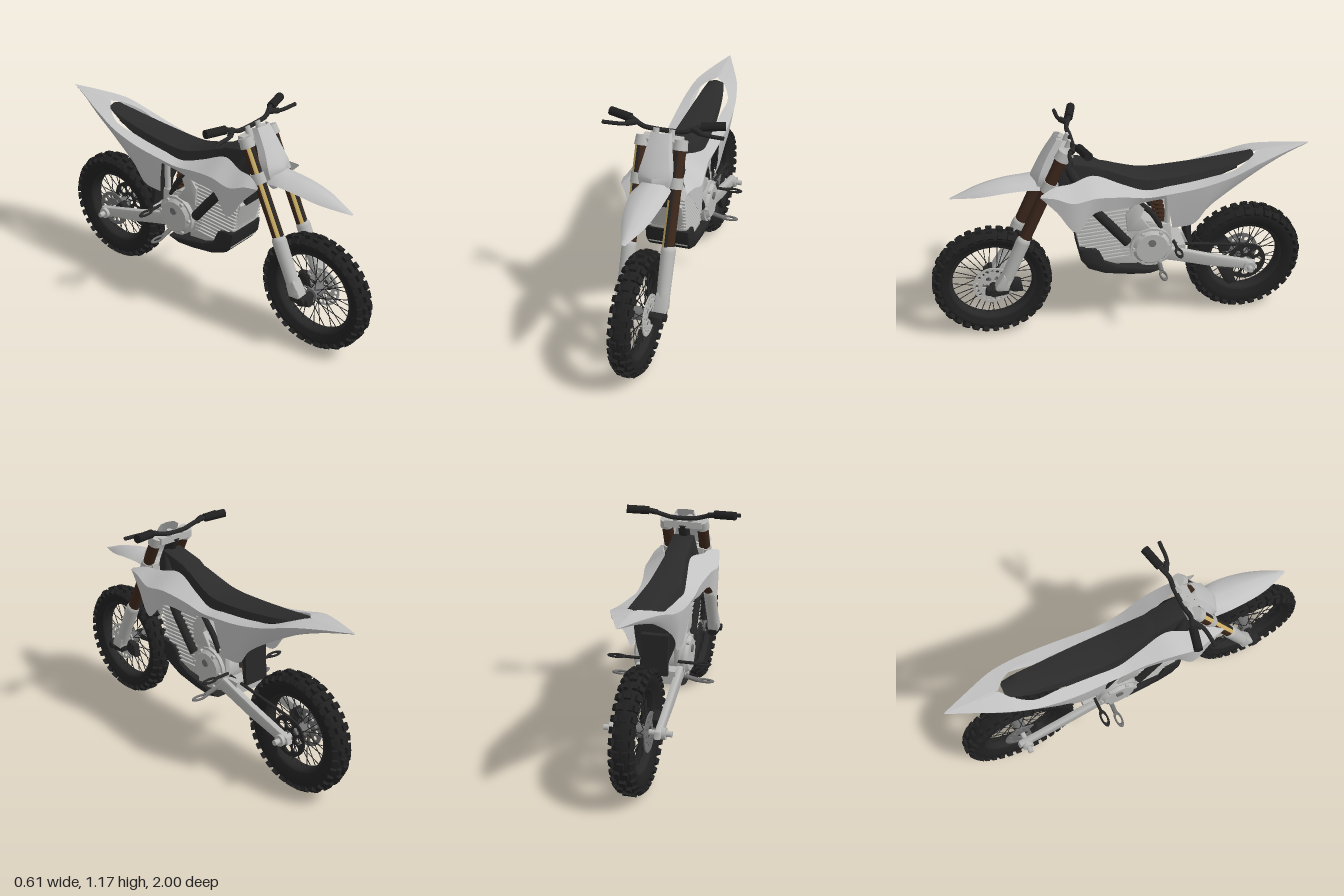
import * as THREE from 'three';
import { mergeGeometries, toCreasedNormals } from 'three/addons/utils/BufferGeometryUtils.js';

const mat = (name, color) => Object.assign(new THREE.MeshStandardMaterial({ color, side: THREE.DoubleSide }), { name });
const V = (x, y, z) => new THREE.Vector3(x, y, z);

export function createModel() {
  const body = mat('body grey', 0xc2c2c2), metal = mat('cast metal', 0xb8b8b6), steel = mat('steel', 0x707070);
  const black = mat('rubber black', 0x202020), dark = mat('seat black', 0x2c2b2b), frameMat = mat('frame black', 0x272727);
  const brown = mat('fork brown', 0x3c271b), gold = mat('fork gold', 0xd2b468);
  const root = new THREE.Group();
  root.name = 'dirtBike';

  const add = (name, geo, m, parent = root) => {
    const mesh = new THREE.Mesh(geo, m);
    mesh.name = name;
    parent.add(mesh);
    return mesh;
  };
  const both = fn => [1, -1].forEach(fn);
  // straight round bar between two points
  const rodGeo = (a, b, r1, r2 = r1, seg = 16, open = false, t0 = 0, t1 = Math.PI * 2) => {
    const d = b.clone().sub(a), g = new THREE.CylinderGeometry(r2, r1, d.length(), seg, 1, open, t0, t1);
    g.applyQuaternion(new THREE.Quaternion().setFromUnitVectors(V(0, 1, 0), d.normalize()));
    return g.translate((a.x + b.x) / 2, (a.y + b.y) / 2, (a.z + b.z) / 2);
  };
  const rod = (name, a, b, r, m, r2 = r, parent = root) => add(name, rodGeo(a, b, r, r2), m, parent);
  const tube = (name, pts, r, m, n = 40) =>
    add(name, new THREE.TubeGeometry(new THREE.CatmullRomCurve3(pts.map(p => V(...p)), false, 'centripetal'), n, r, 10), m);
  const boxGeo = (w, h, d, x, y, z) => new THREE.BoxGeometry(w, h, d).translate(x, y, z);
  // side outline of [z, y] points given a width along x
  const slab = (name, pts, width, x, m, bevel = 0) => {
    const g = new THREE.ExtrudeGeometry(new THREE.Shape(pts.map(p => new THREE.Vector2(...p))), {
      depth: width - 2 * bevel, bevelEnabled: bevel > 0, bevelSize: bevel, bevelThickness: bevel, bevelOffset: -bevel, bevelSegments: 2 });
    g.translate(0, 0, -width / 2 + bevel).rotateY(-Math.PI / 2).translate(x, 0, 0);
    return add(name, toCreasedNormals(g, 0.6), m);
  };
  // surface through rows of points, smoothed from row to row
  const sheet = (name, rows, m, side = 1, steps = 30) => {
    const cols = rows[0].map((_, i) => new THREE.CatmullRomCurve3(rows.map(r => V(r[i][0] * side, r[i][1], r[i][2])), false, 'centripetal').getPoints(steps));
    const n = cols.length, pos = [], idx = [];
    for (let j = 0; j <= steps; j++) cols.forEach(c => pos.push(c[j].x, c[j].y, c[j].z));
    for (let j = 0; j < steps; j++) for (let i = 0; i < n - 1; i++) {
      const a = j * n + i, b = a + n;
      idx.push(a, b, a + 1, b, b + 1, a + 1);
    }
    const g = new THREE.BufferGeometry();
    g.setAttribute('position', new THREE.Float32BufferAttribute(pos, 3));
    g.setIndex(idx);
    return add(name, toCreasedNormals(g, 0.7), m);
  };
  const whole = rows => rows.map(r => [...r.slice(1).reverse().map(p => [-p[0], p[1], p[2]]), ...r]);
  // flat ring with a circle of openings, axis along x
  const ringGeo = (ro, ri, holes, holeR, at, thick) => {
    const s = new THREE.Shape().absarc(0, 0, ro, 0, Math.PI * 2);
    s.holes.push(new THREE.Path().absarc(0, 0, ri, 0, Math.PI * 2, true));
    for (let i = 0; i < holes; i++) {
      const a = i / holes * Math.PI * 2;
      s.holes.push(new THREE.Path().absarc(at * Math.cos(a), at * Math.sin(a), holeR, 0, Math.PI * 2, true));
    }
    return new THREE.ExtrudeGeometry(s, { depth: thick, bevelEnabled: false, curveSegments: 16 }).rotateY(Math.PI / 2);
  };

  // wheels: tyre, knobs, rim, hub, spokes
  const wheel = (name, z, inner, h) => {
    const g = new THREE.Group();
    g.name = name;
    g.position.set(0, 0.318, z);
    root.add(g);
    const lathe = p => new THREE.LatheGeometry(p.map(q => new THREE.Vector2(...q)), 64).rotateZ(Math.PI / 2);
    add('tyre', lathe([[inner, -h * .6], [inner + .03, -h * .85], [.272, -h * .92], [.292, -h * .7], [.302, 0],
      [.292, h * .7], [.272, h * .92], [inner + .03, h * .85], [inner, h * .6]]), black, g);
    add('rim', lathe([[inner + .004, -h * .62], [inner - .014, -h * .55], [inner - .02, 0], [inner - .014, h * .55], [inner + .004, h * .62]]), frameMat, g);
    const knobs = [], spokes = [];
    for (let i = 0; i < 34; i++) {
      const a = i / 34 * Math.PI * 2;
      const list = i % 2 ? [[0, .303, .032, 0]] : [[-h * .38, .301, .022, 0], [h * .38, .301, .022, 0]];
      list.push([h * .82, .287, .028, -.75], [-h * .82, .287, .028, .75]);
      list.forEach(([x, r, w, tilt]) => knobs.push(new THREE.BoxGeometry(w, .026, .03).rotateZ(tilt).translate(x, r, 0).rotateX(a)));
    }
    for (let i = 0; i < 36; i++) {
      const s = i % 2 ? 1 : -1, a = i / 36 * Math.PI * 2, b = a + (i % 4 < 2 ? .55 : -.55), r = inner - .012;
      spokes.push(rodGeo(V(s * .035, .032 * Math.cos(b), .032 * Math.sin(b)), V(0, r * Math.cos(a), r * Math.sin(a)), .0022, .0022, 5));
    }
    add('knobs', mergeGeometries(knobs), black, g);
    add('spokes', mergeGeometries(spokes), frameMat, g);
    rod('hub', V(-.045, 0, 0), V(.045, 0, 0), .034, steel, .034, g);
    return g;
  };
  const front = wheel('frontWheel', .685, .228, .051), rear = wheel('rearWheel', -.683, .208, .056);
  add('frontBrakeDisc', ringGeo(.105, .06, 20, .009, .085, .006).translate(.05, 0, 0), metal, front);
  add('frontDiscCarrier', ringGeo(.064, .02, 6, .014, .043, .005).translate(.05, 0, 0), metal, front);
  add('rearBrakeDisc', ringGeo(.1, .03, 12, .012, .07, .006).translate(-.06, 0, 0), steel, rear);
  add('sprocket', ringGeo(.108, .03, 8, .021, .068, .008).translate(.065, 0, 0), frameMat, rear);
  rod('rearAxle', V(-.17, 0, 0), V(.17, 0, 0), .014, metal, .014, rear);
  rod('frontAxle', V(-.13, 0, 0), V(.13, 0, 0), .02, frameMat, .02, front);

  // fork legs with gold and black bands down the front
  both(s => {
    const x = s * .097;
    const band = (name, y, t0, t1, m) =>
      add(name, rodGeo(V(x, .61, .511), V(x, y, .511 - (y - .61) * .4633), .0315, .0315, 6, true, t0, t1), m);
    rod('forkTube', V(x, .58, .525), V(x, 1.07, .298), .03, brown);
    band('forkGoldStrip', s > 0 ? .82 : 1.05, -1.15, .65, gold);
    band('forkBlackStrip', 1.05, -.45, .5, frameMat);
    rod('forkLower', V(s * .102, .36, .625), V(s * .1, .595, .52), .033, metal, .037);
    add('forkShoulder', new THREE.SphereGeometry(.037, 16, 10).translate(s * .1, .595, .52), metal);
    slab('axleLug', [[.59, .38], [.63, .42], [.67, .36], [.68, .325], [.61, .32]], .064, s * .102, metal, .01);
    slab('axleClamp', [[.6, .328], [.66, .335], [.72, .335], [.73, .3], [.68, .285], [.61, .295]], .054, s * .098, frameMat, .01);
    rod('topClampRing', V(x, 1.04, .312), V(x, 1.085, .291), .038, metal, .033);
    rod('lowerClampRing', V(x, .87, .39), V(x, .92, .367), .036, metal);
    rod('axleNut', V(s * .1, .318, .685), V(s * .14, .318, .685), .02, frameMat);
    rod('barMount', V(s * .04, 1.06, .28), V(s * .04, 1.115, .255), .016, metal);
  });
  slab('frontCaliper', [[.53, .28], [.54, .35], [.6, .36], [.62, .3], [.58, .28]], .04, .065, frameMat, .008);
  add('topClamp', boxGeo(.2, .035, .07, 0, 1.065, .285), metal);
  add('lowerClamp', boxGeo(.2, .04, .07, 0, .895, .365), metal);
  rod('steeringStem', V(0, .87, .365), V(0, 1.07, .27), .03, frameMat);

  // handlebar, grips and levers
  tube('handlebar', [[-.28, 1.145, .208], [-.17, 1.137, .235], [-.11, 1.115, .255], [-.06, 1.105, .25], [.06, 1.105, .25], [.11, 1.115, .255], [.17, 1.137, .235], [.28, 1.145, .208]], .012, frameMat);
  both(s => {
    rod('grip', V(s * .178, 1.138, .234), V(s * .292, 1.146, .205), .022, black);
    rod('leverPerch', V(s * .14, 1.128, .245), V(s * .19, 1.125, .275), .015, frameMat);
    tube('lever', [[s * .15, 1.125, .255], [s * .2, 1.125, .282], [s * .305, 1.125, .292]], .01, frameMat, 12);
  });

  // front fender and number plate
  sheet('frontFender', whole([
    [[0, .828, .87], [.004, .828, .87], [.008, .827, .868]],
    [[0, .885, .72], [.042, .872, .72], [.062, .85, .72]],
    [[0, .91, .6], [.055, .895, .6], [.084, .872, .6]],
    [[0, .917, .5], [.058, .904, .5], [.09, .88, .5]],
    [[0, .928, .42], [.055, .912, .42], [.085, .872, .42]]]), body);
  sheet('numberPlate', whole([
    [[0, 1.128, .335], [.045, 1.128, .325], [.05, 1.12, .295]],
    [[0, 1.03, .4], [.062, 1.03, .385], [.07, 1.03, .345]],
    [[0, .935, .458], [.08, .94, .425], [.086, .93, .38]],
    [[0, .885, .46], [.07, .885, .435], [.078, .875, .39]]]), body);

  // side shrouds and tail panels, each side sweeping into the tail tip
  both(s => {
    sheet('sideShroud', [
      [[.16, .885, .425], [.168, .875, .43], [.168, .865, .42]],
      [[.125, .906, .35], [.181, .87, .36], [.18, .79, .35]],
      [[.11, .908, .27], [.193, .84, .27], [.189, .67, .255]],
      [[.07, .923, .15], [.18, .85, .15], [.168, .76, .16]],
      [[.082, .864, 0], [.155, .828, 0], [.143, .762, 0]],
      [[.096, .826, -.12], [.15, .81, -.12], [.138, .782, -.12]],
      [[.096, .838, -.25], [.153, .822, -.25], [.146, .8, -.25]]], body, s);
    sheet('tailPanel', [
      [[.096, .834, -.21], [.152, .818, -.21], [.14, .7, -.235], [.122, .605, -.255]],
      [[.092, .85, -.36], [.156, .838, -.36], [.142, .73, -.365], [.118, .615, -.37]],
      [[.092, .868, -.46], [.154, .858, -.46], [.145, .77, -.45], [.122, .705, -.44]],
      [[.1, .9, -.58], [.145, .89, -.58], [.132, .835, -.57], [.115, .795, -.56]],
      [[.05, .94, -.68], [.125, .925, -.68], [.115, .888, -.68], [.1, .868, -.68]],
      [[0, .953, -.73], [.108, .94, -.74], [.1, .912, -.74], [.09, .9, -.74]],
      [[0, .964, -.86], [.06, .958, -.86], [.055, .946, -.86], [.05, .94, -.86]],
      [[0, .972, -1], [.003, .972, -1], [.003, .971, -1], [.002, .97, -1]]], body, s);
  });

  // seat: z, half width, top height, lower edge height
  const seatRows = [[.15, .05, .968, .91], [.08, .066, .95, .885], [0, .08, .92, .855], [-.12, .095, .886, .82], [-.3, .093, .89, .838], [-.5, .078, .912, .872], [-.62, .062, .932, .91], [-.7, .042, .95, .938]];
  sheet('seat', seatRows.map(([z, w, t, b]) => [[0, b - .02, z], [w, b, z], [w * .86, t - .01, z], [0, t, z], [-w * .86, t - .01, z], [-w, b, z], [0, b - .02, z]]), dark);
  slab('frameHead', [[.29, 1.0], [.13, .967], [.02, .9], [.05, .8], [.27, .68], [.32, .82], [.33, .92]], .12, 0, dark, .01);
  sheet('innerFender', [[.84, .09], [.72, .115], [.62, .1], [.55, .075]].map(([y, w], i) => [[-w, y, -.29 - i * .022], [0, y, -.3 - i * .02], [w, y, -.29 - i * .022]]), frameMat);
  slab('mudFlap', [[-.32, .68], [-.36, .68], [-.375, .47], [-.355, .47]], .14, 0, frameMat);

  // power unit with cooling fins
  slab('batteryCase', [[.27, .69], [.22, .5], [.19, .41], [-.08, .38], [-.1, .62], [-.04, .77], [.12, .77]], .19, 0, metal, .02);
  const fins = [];
  for (let i = 0; i < 15; i++) {
    const y = .44 + i * .021, f = .215 + (y - .44) * .16, b = -.03;
    fins.push(new THREE.BoxGeometry(.21, .009, f - b).rotateX(.06).translate(0, y, (f + b) / 2));
  }
  add('coolingFins', mergeGeometries(fins), metal);
  slab('skidPlate', [[.235, .525], [.225, .45], [.185, .395], [.1, .358], [-.04, .335], [-.14, .328], [-.21, .35], [-.1, .37], [.03, .395], [.1, .43], [.13, .5], [.17, .52]], .235, 0, frameMat, .012);
  rod('motor', V(-.125, .5, -.145), V(.125, .5, -.145), .112, metal);
  rod('motorBack', V(-.1, .53, -.1), V(.1, .53, -.1), .12, metal);
  both(s => {
    rod('motorCover', V(s * .125, .5, -.145), V(s * .142, .5, -.145), .1, metal, .085);
    rod('motorHub', V(s * .14, .535, -.145), V(s * .15, .535, -.145), .02, steel);
    for (let i = 0; i < 6; i++) {
      const a = i * Math.PI / 3, y = .5 + .095 * Math.sin(a), z = -.145 + .095 * Math.cos(a);
      rod('coverBolt', V(s * .12, y, z), V(s * .14, y, z), .01, metal);
    }
    slab('motorBracket', [[-.02, .6], [-.01, .7], [-.07, .78], [-.11, .73], [-.09, .68], [-.15, .6]], .03, s * .1, metal, .006);
    slab('pivotPlate', [[-.13, .63], [-.25, .62], [-.26, .5], [-.24, .4], [-.17, .37], [-.12, .42]], .03, s * .09, metal, .006);
    tube('frameSpar', [[s * .04, .97, .275], [s * .085, .85, .21], [s * .102, .75, .155], [s * .108, .64, .065], [s * .108, .535, -.02]], .026, frameMat);
    tube('subframeRail', [[s * .07, .8, 0], [s * .075, .79, -.15], [s * .07, .84, -.4], [s * .05, .9, -.6]], .014, frameMat);
    tube('subframeStrut', [[s * .1, .76, -.08], [s * .1, .69, -.15], [s * .095, .6, -.2]], .015, frameMat, 12);
    tube('rearStay', [[s * .085, .8, -.235], [s * .085, .7, -.235], [s * .085, .6, -.235]], .016, metal, 12);
    // swingarm and pegs
    slab('swingarm', [[-.17, .5], [-.27, .475], [-.45, .415], [-.66, .355], [-.72, .34], [-.73, .305], [-.68, .295], [-.45, .345], [-.28, .395], [-.18, .42]], .034, s * .105, metal, .008);
    rod('axleBlock', V(s * .11, .318, -.683), V(s * .14, .318, -.683), .03, metal);
    const pegLoop = new THREE.TorusGeometry(.016, .005, 8, 20).rotateX(Math.PI / 2).scale(2.4, 1.3, 1);
    add('footPeg', pegLoop.clone().translate(s * .222, .38, -.19), steel);
    rod('pegMount', V(s * .1, .4, -.19), V(s * .185, .38, -.19), .012, steel);
    add('upperPeg', pegLoop.translate(s * .222, .51, -.27), frameMat);
    rod('upperPegBar', V(s * .1, .51, -.27), V(s * .185, .51, -.27), .008, frameMat);
  });
  rod('swingarmPivot', V(-.12, .46, -.21), V(.12, .46, -.21), .03, metal);
  add('swingarmBridge', boxGeo(.2, .07, .07, 0, .445, -.3), metal);

  // shock absorber with coil spring
  rod('shockBody', V(0, .5, -.24), V(0, .82, -.17), .02, brown);
  const coil = [];
  for (let i = 0; i <= 64; i++) {
    const t = i / 64, a = t * Math.PI * 14;
    coil.push([.028 * Math.cos(a), .6 + .18 * t, -.218 + .04 * t + .028 * Math.sin(a)]);
  }
  tube('shockSpring', coil, .007, brown, 200);

  // chain run and guide
  rod('chain', V(.069, .49, -.16), V(.069, .42, -.7), .008, frameMat);
  slab('chainGuide', [[-.52, .3], [-.6, .29], [-.63, .2], [-.59, .185], [-.56, .22]], .03, .072, frameMat, .005);
  slab('rearCaliper', [[-.56, .36], [-.6, .4], [-.64, .36], [-.62, .31], [-.57, .31]], .04, -.07, frameMat, .006);
  return root;
}
